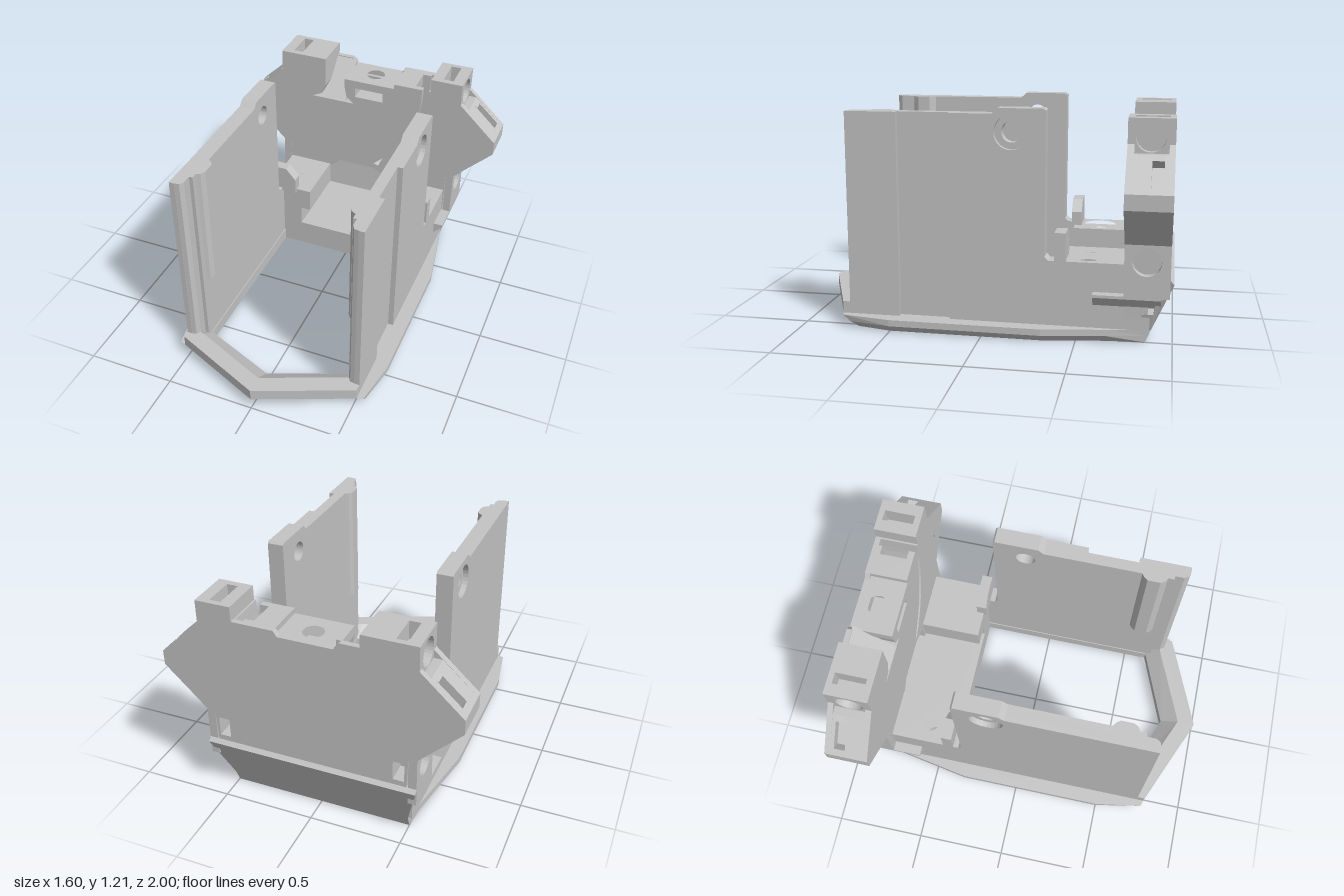
import * as THREE from 'three';

const grey = new THREE.MeshStandardMaterial({ color: 0xc4c4c4 });
grey.name = 'plain grey';

const rect = (a0, a1, b0, b1) => [[a0, b0], [a1, b0], [a1, b1], [a0, b1]];
const toVectors = (points) => points.map(([x, y]) => new THREE.Vector2(x, y));

// Shape from [x, y] points with round holes [x, y, radius] and other cut-outs given as point lists
function outline(points, holes = [], cuts = []) {
  const s = new THREE.Shape(toVectors(points));
  for (const [x, y, r] of holes) {
    const h = new THREE.Path();
    h.absarc(x, y, r, 0, Math.PI * 2, true);
    s.holes.push(h);
  }
  for (const cut of cuts) s.holes.push(new THREE.Path(toVectors(cut)));
  return s;
}
const extrude = (shape, depth, steps = 1) =>
  new THREE.ExtrudeGeometry(shape, { depth, steps, bevelEnabled: false, curveSegments: 14 });

// Points are [x, y], extruded between two z values
const alongZ = (pts, z0, z1, holes, cuts) => extrude(outline(pts, holes, cuts), z1 - z0).translate(0, 0, z0);
// Points are [z, y], extruded between two x values
const alongX = (pts, x0, x1, holes) =>
  extrude(outline(pts, holes), x1 - x0).rotateY(-Math.PI / 2).translate(x1, 0, 0);
// Points are [x, z], extruded between two y values
function alongY(pts, y0, y1, holes = [], cuts = [], steps = 1) {
  const flip = (list) => list.map(([x, z, ...r]) => [x, -z, ...r]);
  return extrude(outline(flip(pts), flip(holes), cuts.map(flip)), y1 - y0, steps)
    .rotateX(-Math.PI / 2).translate(0, y0, 0);
}
const mirrorPts = (half) => [...half, ...half.filter((p) => p[0] > 0).reverse().map(([x, z]) => [-x, z])];

// Moves the corners of a geometry by a rule
function warp(geo, rule) {
  const p = geo.attributes.position, v = new THREE.Vector3();
  for (let i = 0; i < p.count; i++) {
    rule(v.fromBufferAttribute(p, i));
    p.setXYZ(i, v.x, v.y, v.z);
  }
  geo.computeVertexNormals();
  return geo;
}

export function createModel() {
  const model = new THREE.Group();
  model.name = 'bracketHousing';
  const add = (name, geo) => {
    const m = new THREE.Mesh(geo, grey);
    m.name = name;
    model.add(m);
  };
  const sideX = (s, a, b) => (s > 0 ? [a, b] : [-b, -a]);

  // Base rim with a chamfered underside
  const screws = [[-0.39, -0.55, 0.06], [0.39, -0.55, 0.06]];
  const rim = alongY(
    mirrorPts([[0, 1], [0.52, 0.78], [0.555, 0.77], [0.6, 0.5], [0.6, -0.32], [0.54, -0.66], [0.5, -0.86]]),
    0, 0.07, screws, [mirrorPts([[0, 0.8], [0.425, 0.63], [0.425, -0.4]])], 2);
  add('baseRim', warp(rim, (v) => {
    if (v.z < -0.8) v.z -= 0.41 * v.y;
    else if (Math.abs(v.x) > 0.5 || v.z > 0.9) {
      if (v.y < 0.01) v.x *= 0.95;
      if (v.z > 0.7) v.z -= 0.08 * (1 - v.y / 0.07);
    }
  }));

  // Raised front lip, sloping toward the opening
  const lip = alongY(mirrorPts([[0, 1], [0.52, 0.78], [0.52, 0.64], [0.425, 0.63], [0, 0.8]]), 0.07, 0.135);
  add('frontLip', warp(lip, (v) => {
    if (v.y < 0.1) return;
    if (Math.abs(v.x) < 0.01 && v.z < 0.9) v.z = 0.9;
    else if (v.z < 0.7) v.z += Math.abs(v.x) > 0.5 ? 0.05 : 0.09;
  }));

  // Rear floor and sloping tail
  add('rearFloor', alongY(rect(-0.52, 0.52, -0.88, -0.4), 0.07, 0.16, screws));
  const tail = alongX([[-0.84, 0.07], [-0.889, 0.07], [-1, 0.34], [-0.98, 0.36], [-0.92, 0.36], [-0.9, 0.16], [-0.84, 0.16]], -1, 1);
  add('slopingTail', warp(tail, (v) => {
    v.x *= THREE.MathUtils.clamp(0.5 + (v.y - 0.07) * 0.28, 0.5, 0.575);
  }));

  for (const s of [1, -1]) {
    const side = s > 0 ? 'left' : 'right';
    // Tall side wall in two layers, giving the pivot hole its counterbore
    const bottom = 0.05;
    const rear = [[-0.05, 1.18], [-0.08, 1.21], [-0.32, 1.21], [-0.33, 1.2], [-0.33, 0.44], [-0.35, 0.42], [-0.41, 0.42], [-0.41, bottom]];
    const pivot = (r) => [[-0.15, 1.085, r]];
    add(side + 'WallInner', alongX([[0.66, bottom], [0.66, 1.18], ...rear], ...sideX(s, 0.43, 0.49), pivot(0.055)));
    if (s > 0) {
      add('leftWallOuterFront', alongX(rect(0.46, 0.74, bottom, 1.18), 0.49, 0.52));
      add('leftWallOuterRear', alongX([[0.18, bottom], [0.18, 1.18], ...rear], 0.49, 0.52, pivot(0.09)));
    } else {
      add('rightWallOuter', alongX([[0.74, bottom], [0.74, 1.18], ...rear], -0.52, -0.49, pivot(0.09)));
    }
    // Rounded front edge and guide rib inside the wall
    const column = (pts, y0) => alongY(pts.map(([x, z]) => [s * x, z]), y0, 1.18);
    add(side + 'WallFrontEdge', column([[0.5, 0.65], [0.45, 0.65], [0.45, 0.71], [0.465, 0.735], [0.5, 0.74]], bottom));
    add(side + 'WallRib', column(
      [[0.44, 0.48], [0.41, 0.5], [0.395, 0.52], [0.395, 0.59], [0.41, 0.615], [0.44, 0.63]], 0.48));

    // Post behind the wall
    add(side + 'Post', alongZ(
      [[0.34, 0.4], [0.34, 0.5], [0.4, 0.57], [0.52, 0.57], [0.52, 0.4]].map(([x, y]) => [s * x, y]), -0.44, -0.38));

    // Screw block, undercut along its inner edge
    const block = (inner, y0, y1, r) =>
      alongY(rect(...sideX(s, inner, 0.52), -0.75, -0.4), y0, y1, [[s * 0.39, -0.55, r]]);
    const overhang = s > 0 ? 0.19 : 0.25;
    add(side + 'ScrewBlockLower', block(0.31, 0.1, 0.28, 0.055));
    add(side + 'ScrewBlockUpper', block(overhang, 0.28, 0.39, 0.055));
    add(side + 'ScrewBlockTop', block(overhang, 0.39, 0.42, 0.095));

    // Flared side ledge
    add(side + 'Ledge', alongZ(
      [[0.515, 0.19], [0.575, 0.25], [0.575, 0.265], [0.515, 0.265]].map(([x, y]) => [s * x, y]), -0.935, -0.585));

    // Side sockets on the back plate
    const socket = (y0, y1, y, r) => alongX(rect(-0.98, -0.745, y0, y1), ...sideX(s, 0.53, 0.575), [[-0.86, y, r]]);
    add(side + 'LowerSocket', socket(0.26, 0.54, 0.45, 0.075));
    add(side + 'UpperSocket', socket(0.99, 1.18, 1.085, 0.075));
  }

  // Back plate, stacked in slices so slots and pockets open inside it
  const arc = (pts) => new THREE.SplineCurve(toVectors(pts)).getPoints(16).map((v) => [v.x, v.y]);
  const grooveLeft = arc([[0.335, 1.1], [0.325, 0.95], [0.27, 0.78], [0.18, 0.63], [0.05, 0.5]]);
  const grooveRight = arc([[0.08, 0.49], [0.22, 0.62], [0.31, 0.78], [0.36, 0.95], [0.375, 1.1]]);

  function plateSlice(z0, z1, { base, open, topSlot, sideSlot, nutSlot, rearSlot, widen = 0 }) {
    const wing = [
      ...(topSlot ? [[0.45, 1.18], [0.45, 1.08], [0.51, 1.08], [0.51, 1.18]] : []),
      [0.53, 1.18],
      ...(topSlot ? [[0.53, 1.005], [0.62, 1.005]] : [[0.53, 1.05], [0.575, 1.05]]),
      ...(sideSlot ? [[0.65, 0.98], [0.61, 0.94], [0.73, 0.83], [0.77, 0.868]] : []),
      [0.8, 0.84], [0.8, 0.76], [0.575, 0.54], [0.53, 0.54], [0.52, base],
    ];
    const top = open
      ? [[-0.285, 1.18], [-0.285, 1], [-0.31, 0.94], [-0.37, 0.91], [-0.1, 0.91], [-0.145, 0.95], [-0.16, 1.02],
        ...(nutSlot ? [[-0.09, 1.02], [-0.09, 0.96], [0.09, 0.96], [0.09, 1.02]] : []),
        [0.16, 1.02], [0.16, 1.1], ...grooveLeft.map(([x, y]) => [x - widen, y]), ...grooveRight]
      : [[-0.285, 1.18], [-0.285, 1.11], [-0.18, 1.11], [-0.15, 1.07], [0.14, 1.07], [0.16, 1.1]];
    const recess = open && base < 0.25
      ? [[0.31, base], [0.31, 0.2], [0.17, 0.28], [0.17, 0.4], [0.05, 0.465], [-0.18, 0.465], [-0.34, 0.32], [-0.34, base]] : [];
    const pts = [...top, [0.385, 1.1], [0.385, 1.18], ...wing, ...recess,
      ...wing.map(([x, y]) => [-x, y]).reverse()];
    const cuts = rearSlot ? [rect(0.45, 0.51, 0.39, 0.5), rect(-0.51, -0.45, 0.39, 0.5)] : [];
    return alongZ(pts, z0, z1, [[0, 0.815, 0.07], [0.61, 0.815, 0.055], [-0.55, 0.815, 0.055]], cuts);
  }
  const slices = [
    [-0.78, -0.745, { base: 0.13, open: true, nutSlot: true }],
    [-0.87, -0.78, { base: 0.13, open: true, nutSlot: true, topSlot: true, widen: 0.05 }],
    [-0.93, -0.87, { base: 0.19, open: true, nutSlot: true, topSlot: true, sideSlot: true, rearSlot: true, widen: 0.05 }],
    [-0.95, -0.93, { base: 0.26, open: true, topSlot: true, rearSlot: true }],
    [-0.98, -0.95, { base: 0.32, open: false, rearSlot: true }],
  ];
  slices.forEach(([z0, z1, o], i) => add('backPlateSlice' + (i + 1), plateSlice(z0, z1, o)));

  // Sloping pocket floor and the drilled cap of the centre block
  add('pocketFloor', alongX([[-0.745, 0.905], [-0.955, 0.905], [-0.955, 1.11]], -0.36, -0.155));
  add('centreCap', alongY(rect(-0.16, 0.16, -0.955, -0.745), 1.02, 1.07, [[0, -0.87, 0.055]]));

  return model;
}
